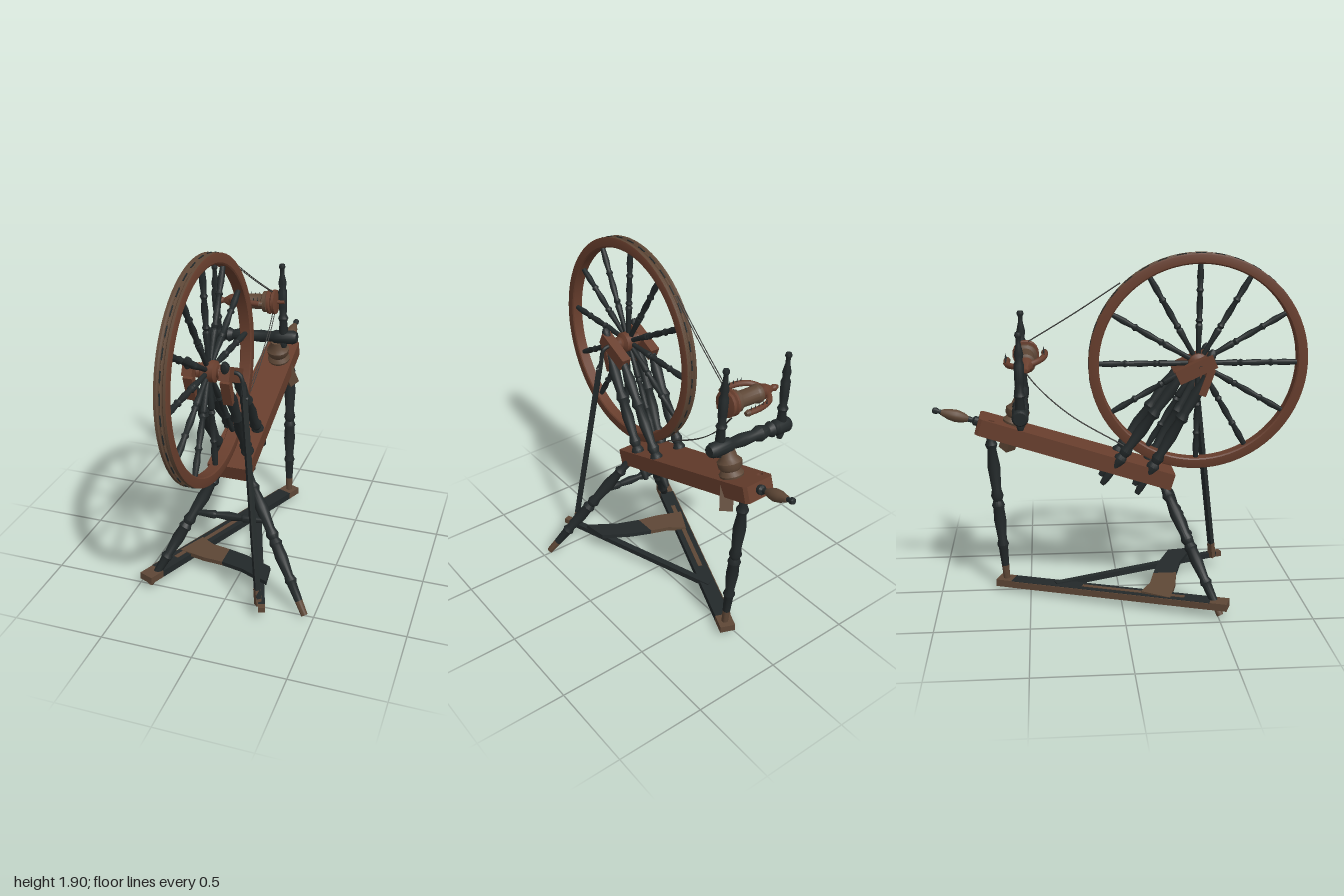
import * as THREE from 'three';
import { toCreasedNormals } from 'three/addons/utils/BufferGeometryUtils.js';

const material = (name, color) => {
  const m = new THREE.MeshStandardMaterial({ color });
  m.name = name;
  return m;
};

export function createModel() {
  const dark = material('dark stain', 0x23292a);
  const red = material('red brown wood', 0x683e2d);
  const brown = material('worn brown wood', 0x5e4736);
  const cord = material('cord', 0x3a3a38);
  const model = new THREE.Group();
  const V = (x, y, z) => new THREE.Vector3(x, y, z);

  const add = (name, geometry, mat, parent = model) => {
    const mesh = new THREE.Mesh(geometry, mat);
    mesh.name = name;
    parent.add(mesh);
    return mesh;
  };

  // Lathe-turned piece from a to b; profile holds [fraction, radius]
  const turned = (name, a, b, profile, mat, parent = model) => {
    const dir = b.clone().sub(a), len = dir.length();
    const pts = [[profile[0][0], 0], ...profile, [profile.at(-1)[0], 0]]
      .map(([t, r]) => new THREE.Vector2(r, t * len));
    const mesh = add(name, toCreasedNormals(new THREE.LatheGeometry(pts, 16), 0.7), mat, parent);
    mesh.position.copy(a);
    mesh.quaternion.setFromUnitVectors(V(0, 1, 0), dir.normalize());
    return mesh;
  };

  // Square-cut piece from a to b
  const beam = (name, a, b, w, h, mat, parent = model) => {
    const mesh = add(name, new THREE.BoxGeometry(w, h, a.distanceTo(b)), mat, parent);
    mesh.position.copy(a).lerp(b, 0.5);
    mesh.lookAt(b);
    return mesh;
  };

  const tube = (name, points, r, mat, parent = model) =>
    add(name, new THREE.TubeGeometry(new THREE.CatmullRomCurve3(points), 32, r, 8), mat, parent);

  // Sloping bench with a peg hole
  const plank = new THREE.Shape([[-0.165, 0], [0.065, 0], [0.045, 1.08], [0.03, 1.098],
    [-0.13, 1.098], [-0.145, 1.08]].map(p => new THREE.Vector2(...p)));
  plank.holes.push(new THREE.Path().absarc(-0.113, 1.03, 0.017, 0, Math.PI * 2, true));
  const bench = add('bench', new THREE.ExtrudeGeometry(plank, { depth: 0.09, bevelEnabled: false }), red);
  bench.rotation.x = -Math.PI / 2 + 0.307;
  bench.position.set(0, 0.615, 0.27);

  // Handle behind the bench
  const h0 = V(-0.045, 0.99, -0.75), h1 = V(-0.045, 1.062, -1);
  turned('handleNeck', h0, h1, [[0, 0.026], [0.12, 0.026], [0.16, 0.014], [0.25, 0.016]], dark);
  turned('handleGrip', h0, h1, [[0.24, 0.014], [0.35, 0.027], [0.5, 0.034], [0.65, 0.029], [0.82, 0.015]], brown);
  turned('handleKnob', h0, h1, [[0.81, 0.013], [0.86, 0.011], [0.92, 0.018], [0.98, 0.016], [1, 0.008]], dark);

  // Legs, listed from foot to bench
  const legProfile = [[0.1, 0.021], [0.22, 0.026], [0.24, 0.033], [0.27, 0.024], [0.4, 0.034], [0.48, 0.03],
    [0.5, 0.036], [0.53, 0.025], [0.56, 0.035], [0.6, 0.026], [0.75, 0.035], [0.86, 0.024], [0.89, 0.034],
    [0.92, 0.022], [1, 0.024]];
  const legs = [
    ['rightFrontLeg', V(0.452, 0, 0.51), V(0.04, 0.65, 0.23)],
    ['leftFrontLeg', V(-0.44, 0, 0.51), V(-0.11, 0.65, 0.23)],
    ['backLeg', V(0.03, 0.04, -0.635), V(0.0, 0.95, -0.705)],
  ];
  for (const [name, foot, top] of legs) {
    turned(name, foot, top, legProfile, dark);
    turned(name + 'Foot', foot, top, [[0, 0.018], [0.1, 0.021]], brown);
  }
  turned('legStretcher', V(-0.24, 0.405, 0.335), V(0.18, 0.43, 0.335),
    [[0, 0.013], [0.2, 0.02], [0.3, 0.024], [0.33, 0.017], [0.5, 0.025], [0.67, 0.017], [0.7, 0.024], [0.8, 0.02], [1, 0.013]], dark);

  // Floor bar with worn ends and edge
  const f = V(-0.445, 0.06, 0.55), g = V(0.045, 0.03, -0.68);
  const along = t => f.clone().lerp(g, t);
  beam('floorBar', along(0.07), along(0.93), 0.085, 0.04, dark);
  beam('floorBarFrontEnd', f, along(0.07), 0.085, 0.04, brown);
  beam('floorBarBackEnd', along(0.93), g, 0.085, 0.04, brown);
  const side = V(-0.0405, 0, -0.0161);
  beam('floorBarWornEdge', along(0.07).add(side), along(0.93).add(side), 0.008, 0.036, brown);
  const raise = V(0, 0.021, 0);
  beam('floorBarWornTop', along(0.18).add(raise), along(0.62).add(raise), 0.025, 0.004, brown);

  // Treadle: arm and sloping foot board
  beam('treadleArm', V(0.245, 0.07, 0.61), V(-0.09, 0.05, -0.36), 0.036, 0.03, dark);
  beam('treadleArmTip', V(0.251, 0.07, 0.628), V(0.24, 0.07, 0.596), 0.037, 0.031, brown);
  const board = (name, pts, mat) => {
    const shape = new THREE.Shape(pts.map(([x, z]) => new THREE.Vector2(x, -z)));
    const mesh = add(name, new THREE.ExtrudeGeometry(shape, { depth: 0.024, bevelEnabled: false }).rotateX(-Math.PI / 2), mat);
    mesh.position.y = 0.08;
    mesh.rotation.z = 0.08;
  };
  board('treadleBoardWorn', [[-0.36, 0.25], [-0.2, 0.3], [-0.08, 0.32], [-0.08, 0.19], [-0.19, 0.16], [-0.28, 0.1]], brown);
  board('treadleBoard', [[-0.08, 0.32], [0.05, 0.36], [0.22, 0.45], [0.2, 0.31], [0.04, 0.23], [-0.08, 0.19]], dark);

  // Paired wheel posts with bearing blocks
  const postProfile = [[0, 0.014], [0.04, 0.02], [0.1, 0.022], [0.13, 0.02], [0.2, 0.03], [0.24, 0.036], [0.27, 0.024],
    [0.31, 0.034], [0.35, 0.023], [0.5, 0.033], [0.62, 0.025], [0.65, 0.036], [0.7, 0.024], [0.85, 0.032], [0.93, 0.022], [1, 0.022]];
  for (const [s, xTop, xLow] of [['left', -0.185, -0.125], ['right', 0.01, 0.025]]) {
    turned(s + 'FrontPost', V(xLow, 0.59, 0.09), V(xTop, 1.25, 0.45), postProfile, dark);
    turned(s + 'BackPost', V(xLow, 0.65, -0.1), V(xTop, 1.26, 0.32), postProfile, dark);
    beam(s + 'BearingBlock', V(xTop, 1.335, 0.49), V(xTop, 1.245, 0.295), 0.055, 0.075, red);
    turned(s + 'FrontCap', V(xTop, 1.31, 0.455), V(xTop, 1.39, 0.485), [[0, 0.02], [0.4, 0.026], [0.8, 0.022], [1, 0.012]], dark);
    beam(s + 'BearingFront', V(xTop, 1.15, 0.425), V(xTop, 1.29, 0.475), 0.05, 0.04, red);
  }

  // Drive wheel, turned about the local x axis
  const wheel = new THREE.Group();
  wheel.name = 'driveWheel';
  wheel.position.set(-0.098, 1.305, 0.417);
  wheel.rotation.set(0, -0.02, 0.047);
  model.add(wheel);
  const ring = (name, pts, mat) => add(name, toCreasedNormals(
    new THREE.LatheGeometry(pts.map(p => new THREE.Vector2(...p)), 72), 0.5).rotateZ(-Math.PI / 2), mat, wheel);
  ring('rimSides', [[0.585, 0.03], [0.578, 0.033], [0.537, 0.033], [0.53, 0.028], [0.53, -0.028],
    [0.537, -0.033], [0.578, -0.033], [0.585, -0.03]], red);
  ring('rimTread', [[0.585, -0.03], [0.585, -0.017], [0.578, -0.011], [0.578, -0.005], [0.585, 0],
    [0.578, 0.005], [0.578, 0.011], [0.585, 0.017], [0.585, 0.03]], brown);
  for (let i = 0; i < 36; i++) {
    const a = i * Math.PI / 18;
    const mark = add('rimGrooveMark', new THREE.BoxGeometry(0.006, 0.004, 0.055), dark, wheel);
    mark.position.set(0, 0.5845 * Math.cos(a), 0.5845 * Math.sin(a));
    mark.rotation.x = a;
  }
  const spokeProfile = [[0, 0.013], [0.2, 0.014], [0.34, 0.019], [0.36, 0.013], [0.39, 0.02], [0.42, 0.013],
    [0.55, 0.018], [0.68, 0.013], [0.71, 0.02], [0.74, 0.013], [0.85, 0.018], [1, 0.013]];
  for (let i = 0; i < 12; i++) {
    const a = i * Math.PI / 6;
    const dir = V(0, Math.cos(a), Math.sin(a));
    turned('spoke', dir.clone().multiplyScalar(0.035), dir.multiplyScalar(0.535), spokeProfile, dark, wheel);
  }
  turned('hub', V(-0.07, 0, 0), V(0.08, 0, 0), [[0, 0.028], [0.1, 0.04], [0.2, 0.034], [0.28, 0.056], [0.72, 0.056],
    [0.8, 0.034], [0.9, 0.04], [1, 0.028]], red, wheel);

  // Axle, crank and footman rod
  tube('axleAndCrank', [V(-0.22, 1.3, 0.417), V(-0.1, 1.304, 0.417), V(0.06, 1.31, 0.417), V(0.078, 1.28, 0.42),
    V(0.085, 1.2, 0.43), V(0.11, 1.185, 0.43)], 0.011, dark);
  beam('footmanRod', V(0.09, 1.2, 0.43), V(0.212, 0.1, 0.573), 0.028, 0.028, dark);
  beam('footmanRodEnd', V(0.205, 0.15, 0.566), V(0.214, 0.06, 0.576), 0.031, 0.031, brown);
  beam('footmanRodTop', V(0.078, 1.265, 0.42), V(0.09, 1.19, 0.43), 0.022, 0.022, dark);

  // Tension base passing through the bench
  turned('tensionBase', V(-0.03, 0.965, -0.572), V(-0.03, 1.11, -0.527), [[0, 0.06], [0.15, 0.066], [0.3, 0.05],
    [0.4, 0.062], [0.6, 0.066], [0.75, 0.045], [1, 0.038]], brown);
  beam('tensionTenon', V(0, 0.95, -0.57), V(0.04, 0.815, -0.615), 0.07, 0.062, brown);

  // Cross beam with two slim posts
  turned('crossBeam', V(-0.45, 1.105, -0.525), V(0.09, 1.145, -0.525), [[0, 0.034], [0.02, 0.042], [0.17, 0.042], [0.19, 0.03],
    [0.23, 0.044], [0.28, 0.03], [0.38, 0.044], [0.45, 0.03], [0.6, 0.036], [0.72, 0.03], [0.76, 0.04], [0.96, 0.04], [1, 0.03]], dark);
  const maidenProfile = [[0, 0.015], [0.05, 0.022], [0.1, 0.015], [0.2, 0.027], [0.32, 0.022], [0.36, 0.03], [0.4, 0.02],
    [0.5, 0.024], [0.68, 0.026], [0.72, 0.018], [0.78, 0.024], [0.88, 0.013], [0.94, 0.012], [0.97, 0.019], [1, 0.015]];
  turned('leftMaiden', V(-0.395, 1.035, -0.525), V(-0.415, 1.535, -0.525), maidenProfile, dark);
  turned('rightMaiden', V(0.015, 1.08, -0.515), V(-0.005, 1.58, -0.522), maidenProfile, dark);

  // Flyer: spindle, bobbin, whorl and hooked arms
  const flyer = new THREE.Group();
  flyer.name = 'flyer';
  flyer.position.set(0, 1.355, -0.495);
  flyer.rotation.x = -0.2;
  model.add(flyer);
  const s0 = V(-0.385, -0.02, 0), s1 = V(0.02, 0.01, 0);
  turned('spindle', s0, s1, [[0, 0.01], [0.06, 0.02], [0.1, 0.014], [0.2, 0.036], [0.27, 0.042], [0.32, 0.018], [1, 0.01]], red, flyer);
  turned('bobbin', s0, s1, [[0.3, 0.03], [0.33, 0.05], [0.38, 0.05], [0.4, 0.044], [0.68, 0.044], [0.7, 0.06], [0.75, 0.06], [0.76, 0.03]], brown, flyer);
  turned('whorl', s0, s1, [[0.76, 0.03], [0.77, 0.07], [0.8, 0.07], [0.82, 0.058], [0.84, 0.07], [0.88, 0.07], [0.9, 0.03]], red, flyer);
  tube('flyerArms', [V(-0.09, 0, 0.1), V(-0.19, 0, 0.1), V(-0.265, -0.005, 0.07), V(-0.3, -0.01, 0),
    V(-0.265, -0.005, -0.07), V(-0.19, 0, -0.1), V(-0.09, 0, -0.1)], 0.016, red, flyer);
  for (const z of [-0.1, 0.1]) {
    turned('flyerArmTip', V(-0.1, 0, z), V(-0.08, 0, z), [[0, 0.018], [1, 0.012]], brown, flyer);
    for (let i = 0; i < 5; i++) {
      const hook = add('flyerHook', new THREE.ConeGeometry(0.004, 0.03, 6), dark, flyer);
      hook.position.set(-0.11 - i * 0.026, 0.026, z);
    }
  }

  // Drive cords between wheel and whorl
  for (const dx of [-0.006, 0.006]) {
    tube('upperDriveCord', [V(-0.11 + dx, 1.735, 0), V(-0.08 + dx, 1.575, -0.24), V(-0.05 + dx, 1.42, -0.49)], 0.0025, cord);
    tube('lowerDriveCord', [V(-0.08 + dx, 0.845, 0.03), V(-0.068 + dx, 1.02, -0.26), V(-0.055 + dx, 1.17, -0.43),
      V(-0.05 + dx, 1.29, -0.525)], 0.0025, cord);
  }
  return model;
}
